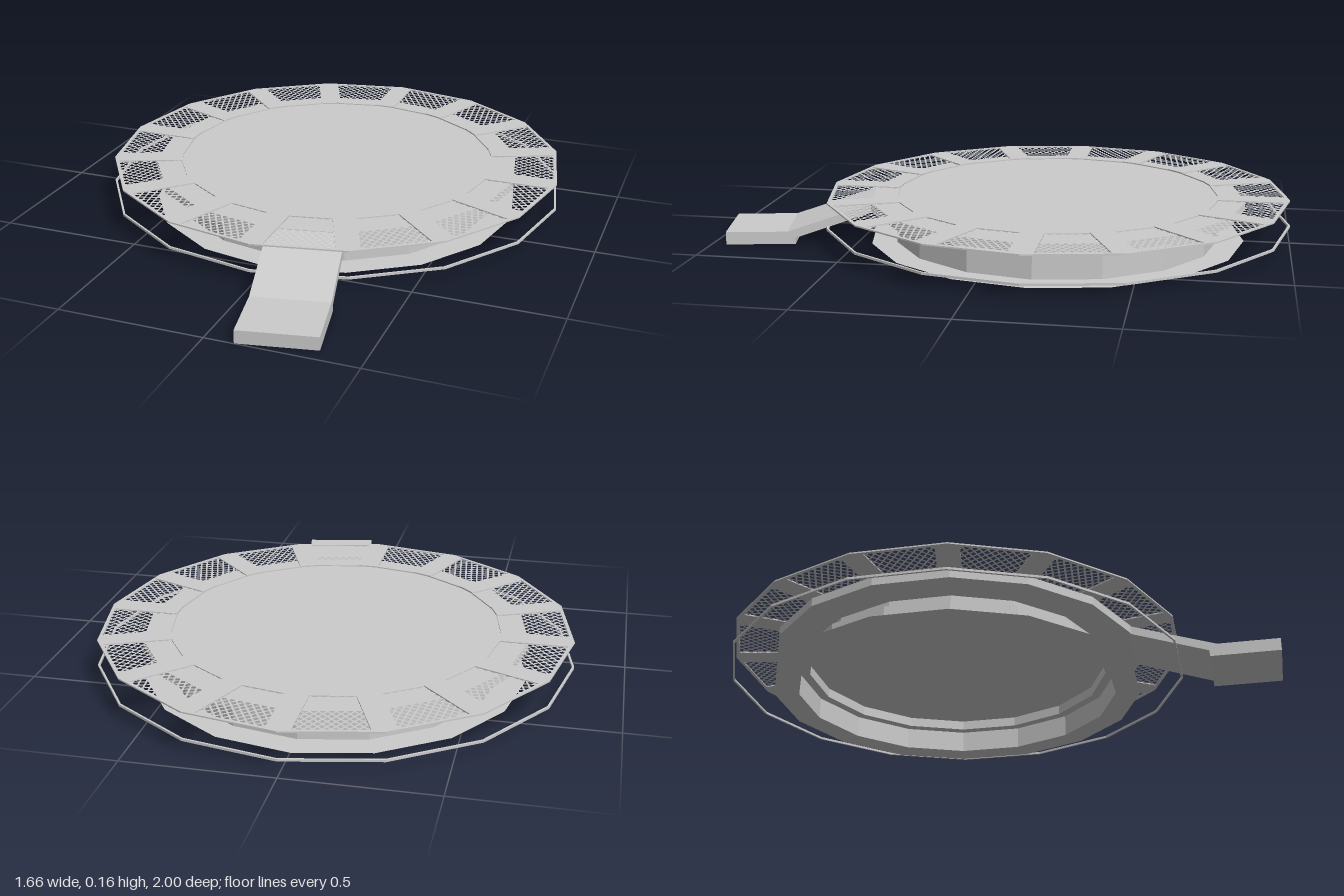
import * as THREE from 'three';
import { mergeGeometries } from 'three/addons/utils/BufferGeometryUtils.js';

const SIDES = 16;
const STEP = (Math.PI * 2) / SIDES;
const material = new THREE.MeshStandardMaterial({
  color: 0xcccccc, flatShading: true, side: THREE.DoubleSide,
});

function add(parent, name, geometry) {
  const mesh = new THREE.Mesh(geometry, material);
  mesh.name = name;
  parent.add(mesh);
  return mesh;
}

// Sixteen-sided turned part from [radius, height] pairs
function turned(points) {
  return new THREE.LatheGeometry(points.map(([r, y]) => new THREE.Vector2(r, y)), SIDES);
}

// Sixteen copies of a geometry around the y axis
function around(geometry, offset) {
  const copies = [];
  for (let i = 0; i < SIDES; i++) copies.push(geometry.clone().rotateY(i * STEP + offset));
  return mergeGeometries(copies);
}

// Part of the line p + t*d inside the half planes [nx, nz, c], or null
function clipLine(p, d, planes) {
  let t0 = -9, t1 = 9;
  for (const [nx, nz, c] of planes) {
    const speed = nx * d.x + nz * d.y;
    const room = c - nx * p.x - nz * p.y;
    if (Math.abs(speed) < 1e-9) { if (room < 0) return null; continue; }
    if (speed > 0) t1 = Math.min(t1, room / speed);
    else t0 = Math.max(t0, room / speed);
  }
  return t1 - t0 > 0.004 ? [t0, t1] : null;
}

// Crossed flat wires filling one bay between two spokes, pointing along +z
function bayNetting() {
  const half = STEP / 2, pitch = 0.021, width = 0.0065;
  const planes = [
    [Math.cos(half), -Math.sin(half), -0.036],
    [-Math.cos(half), -Math.sin(half), -0.036],
    [0, 1, 0.806],
    [0, -1, -0.572],
  ];
  const wires = [];
  for (const side of [-1, 1]) {
    const d = new THREE.Vector2(side * 0.64, 0.77).normalize();
    for (let k = -14; k <= 14; k++) {
      const p = new THREE.Vector2(-d.y, d.x).multiplyScalar(k * pitch).add(new THREE.Vector2(0, 0.69));
      const span = clipLine(p, d, planes);
      if (!span) continue;
      const mid = (span[0] + span[1]) / 2;
      const wire = new THREE.PlaneGeometry(width, span[1] - span[0]);
      wire.rotateX(-Math.PI / 2).rotateY(Math.atan2(d.x, d.y));
      wire.translate(p.x + d.x * mid, 0.152, p.y + d.y * mid);
      wires.push(wire);
    }
  }
  return mergeGeometries(wires);
}

// Flat spoke with a pointed outer end that follows the rim, along +z
function spokeGeometry() {
  const shape = new THREE.Shape([
    [-0.04, 0.572], [0.04, 0.572], [0.04, 0.815], [0, 0.823], [-0.04, 0.815],
  ].map(([x, z]) => new THREE.Vector2(x, z)));
  const geometry = new THREE.ExtrudeGeometry(shape, { depth: 0.005, bevelEnabled: false });
  return geometry.rotateX(Math.PI / 2).translate(0, 0.155, 0);
}

export function createModel() {
  const model = new THREE.Group();
  model.name = 'platform';

  const deck = new THREE.Group();
  deck.name = 'deck';
  deck.position.z = -0.172;
  model.add(deck);

  // Hollow stepped base with a thin flange on the ground
  add(deck, 'base', turned([[0.67, 0], [0.58, 0], [0.58, 0.08], [0.545, 0.08], [0.545, 0.115]]));
  add(deck, 'topPlate', turned([[0, 0.115], [0.67, 0.115], [0.67, 0.145], [0, 0.145]]));

  // Netting, spokes and rims around the plate
  add(deck, 'netting', around(bayNetting(), STEP / 2));
  add(deck, 'spokes', around(spokeGeometry(), 0));
  add(deck, 'outerRim', turned([[0.812, 0.15], [0.824, 0.15], [0.824, 0.155], [0.812, 0.155], [0.812, 0.15]]));
  add(deck, 'innerRim', turned([[0.578, 0.15], [0.583, 0.15], [0.583, 0.154], [0.578, 0.154], [0.578, 0.15]]));

  // Thin hoop hanging below the netting
  add(deck, 'lowerHoop', turned([[0.821, 0.056], [0.828, 0.056], [0.828, 0.064], [0.821, 0.064], [0.821, 0.056]]));

  // Ramp in the bay just left of the front: side profile as [distance, height]
  const profile = new THREE.Shape([
    [0.65, 0.145], [0.65, 0.115], [0.925, 0.022], [0.925, 0], [1.168, 0], [1.168, 0.045], [0.952, 0.045],
  ].map(([r, y]) => new THREE.Vector2(r, y)));
  const rampGeometry = new THREE.ExtrudeGeometry(profile, { depth: 0.26, bevelEnabled: false });
  rampGeometry.translate(0, 0, -0.13).rotateY(-Math.PI / 2);
  add(deck, 'ramp', rampGeometry).rotation.y = STEP / 2;

  return model;
}
